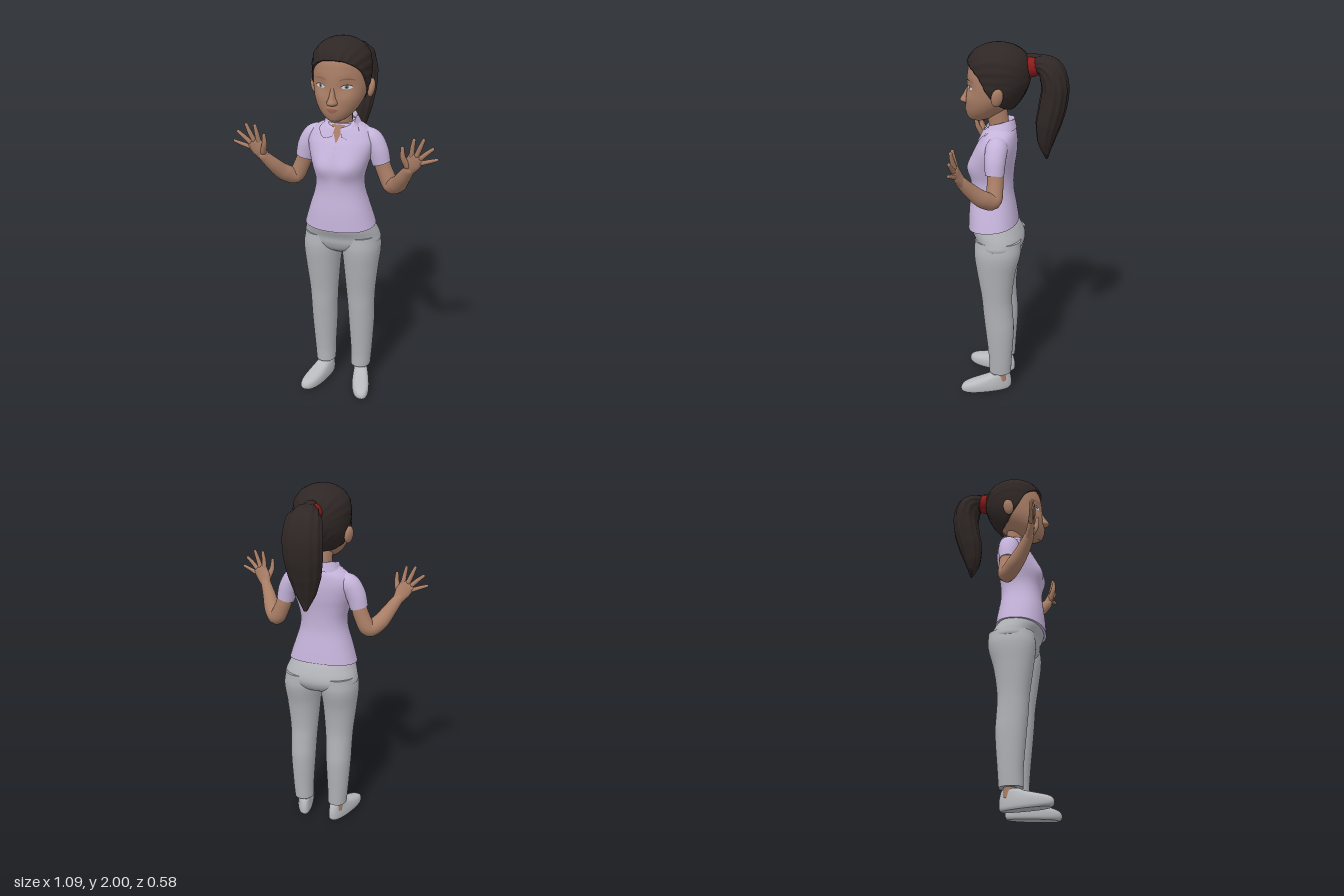
import * as THREE from 'three';

const mat = (name, color, side = THREE.FrontSide) => {
  const m = new THREE.MeshStandardMaterial({ color, side });
  m.name = name;
  return m;
};

// Skin a stack of closed rings, each listed counter-clockwise seen from the end of the stack
function skinRings(rings, closed = true) {
  const n = rings[0].length, pos = [], idx = [];
  rings.forEach(r => r.forEach(p => pos.push(p.x, p.y, p.z)));
  for (let i = 0; i < rings.length - 1; i++)
    for (let j = 0; j < (closed ? n : n - 1); j++) {
      const a = i * n + j, b = i * n + (j + 1) % n;
      idx.push(a, b, b + n, a, b + n, a + n);
    }
  const g = new THREE.BufferGeometry();
  g.setAttribute('position', new THREE.Float32BufferAttribute(pos, 3));
  g.setIndex(idx);
  g.computeVertexNormals();
  return g;
}

// Smooth lookup in a table whose first column is the key
function at(rows, y) {
  let i = 0;
  while (i < rows.length - 2 && y > rows[i + 1][0]) i++;
  const p0 = rows[Math.max(i - 1, 0)], p1 = rows[i], p2 = rows[i + 1], p3 = rows[Math.min(i + 2, rows.length - 1)];
  const h = p2[0] - p1[0], t = Math.min(1, Math.max(0, (y - p1[0]) / h)), t2 = t * t, t3 = t2 * t;
  return p1.map((v, c) => {
    const m1 = (p2[c] - p0[c]) / (p2[0] - p0[0]) * h, m2 = (p3[c] - p1[c]) / (p3[0] - p1[0]) * h;
    return (2 * t3 - 3 * t2 + 1) * v + (t3 - 2 * t2 + t) * m1 + (3 * t2 - 2 * t3) * p2[c] + (t3 - t2) * m2;
  });
}

// Horizontal cross-sections: rows of [y, front z, back z, half width, centre x]
function loft(rows, { n = 48, steps = 5, power = 2, deform = null } = {}) {
  const se = v => Math.sign(v) * Math.abs(v) ** (2 / power);
  const ring = y => {
    const [, zf, zb, rx, cx = 0] = at(rows, y);
    return Array.from({ length: n }, (_, j) => {
      const a = j / n * Math.PI * 2;
      const p = new THREE.Vector3(cx + rx * se(Math.sin(a)), y, (zf + zb) / 2 + (zf - zb) / 2 * se(Math.cos(a)));
      if (deform) deform(p, a);
      return p;
    });
  };
  const rings = [];
  for (let i = 0; i < rows.length - 1; i++)
    for (let k = 0; k < steps; k++) rings.push(ring(rows[i][0] + (rows[i + 1][0] - rows[i][0]) * k / steps));
  rings.push(ring(rows[rows.length - 1][0]));
  const lid = r => {
    const c = r.reduce((s, p) => s.add(p), new THREE.Vector3()).divideScalar(n);
    return r.map(() => c.clone());
  };
  const first = rings[0], last = rings[rings.length - 1];
  return skinRings([lid(first), first, ...rings, last, lid(last)]);
}

// Limb along a path: points of [x, y, z, radius, second radius]; round = 1 gives domed ends
function limb(pts, { round = 1, n = 20, steps = 20, ripple = () => 1 } = {}) {
  const curve = new THREE.CatmullRomCurve3(pts.map(p => new THREE.Vector3(p[0], p[1], p[2])));
  const { tangents, normals, binormals } = curve.computeFrenetFrames(steps);
  const ring = (i, k = 1, shift = 0) => {
    const u = i / steps, f = Math.min(curve.getUtoTmapping(u) * (pts.length - 1), pts.length - 1 - 1e-6);
    const s = Math.floor(f), mix = c => THREE.MathUtils.lerp(pts[s][c] ?? pts[s][3], pts[s + 1][c] ?? pts[s + 1][3], f - s);
    const r1 = mix(3), r2 = mix(4), c = curve.getPointAt(u).addScaledVector(tangents[i], shift * Math.min(r1, r2));
    return Array.from({ length: n }, (_, j) => {
      const a = j / n * Math.PI * 2, q = k * ripple(a);
      return c.clone().addScaledVector(normals[i], Math.cos(a) * r1 * q).addScaledVector(binormals[i], Math.sin(a) * r2 * q);
    });
  };
  const rings = Array.from({ length: steps + 1 }, (_, i) => ring(i));
  for (let k = round ? 1 : 0; k <= 4; k++) {
    const th = k / 4 * Math.PI / 2, c = Math.cos(th), s = Math.sin(th) * round;
    rings.unshift(ring(0, c, -s));
    rings.push(ring(steps, c, s));
  }
  return skinRings(rings);
}

const gauss = (x, y, cx, cy, s) => Math.exp(-((x - cx) ** 2 + (y - cy) ** 2) / (2 * s * s));
const frontZ = (rows, power, x, y) => {
  const [, zf, zb, rx] = at(rows, y);
  return (zf + zb) / 2 + (zf - zb) / 2 * Math.max(0, 1 - Math.abs(x / rx) ** power) ** (1 / power);
};

const HEAD = [
  [1.593, .225, .15, .025], [1.61, .24, .11, .058], [1.65, .25, .05, .097], [1.70, .25, -.01, .125], [1.75, .246, -.045, .138],
  [1.80, .245, -.065, .142], [1.85, .24, -.07, .141], [1.90, .227, -.06, .132], [1.94, .19, -.03, .1], [1.965, .13, .03, .04]];
const TORSO = [
  [1.0, .248, -.026, .192], [1.1, .243, -.016, .166], [1.2, .232, 0, .135], [1.27, .23, .001, .129], [1.34, .235, -.005, .146],
  [1.40, .222, -.014, .165], [1.46, .198, -.018, .178], [1.50, .175, -.016, .17], [1.535, .158, -.01, .14], [1.565, .143, .005, .085]];
const faceBump = (x, y) => .006 * gauss(x, y, 0, 1.655, .02) + .004 * gauss(x, y, 0, 1.61, .02)
  - .01 * gauss(Math.abs(x), y, .068, 1.775, .026) + .005 * gauss(Math.abs(x), y, .075, 1.715, .03);
const chestBump = (x, y) => .018 * gauss(Math.abs(x), y, .07, 1.345, .045);
const faceZ = (x, y) => frontZ(HEAD, 2, x, y) + faceBump(x, y);
const chestZ = (x, y) => frontZ(TORSO, 2.3, x, y) + chestBump(x, y);

// Thin patch laid on a surface; f maps u, v in -1..1 to x, y
function patch(surface, f, off) {
  const g = new THREE.PlaneGeometry(2, 2, 8, 10), p = g.attributes.position;
  for (let i = 0; i < p.count; i++) {
    const [x, y] = f(p.getX(i), p.getY(i));
    p.setXYZ(i, x, y, surface(x, y) + off);
  }
  g.computeVertexNormals();
  return g;
}
const oval = (cx, cy, w, h) => (u, v) => [cx + u * w * Math.sqrt(Math.max(0, 1 - v * v)), cy + v * h];

// Swept-back hair shell with a shaped hairline and combed ridges
function hairCap() {
  const low = [[1.64, .2, .015, .09], [1.70, .24, -.035, .125], [1.76, .248, -.07, .146], [1.81, .249, -.087, .151], [1.85, .248, -.092, .152]];
  const line = [[0, 1.905], [.45, 1.895], [.99, 1.845], [1.37, 1.76], [1.8, 1.70], [2.3, 1.67], [3.15, 1.66]];
  const n = 120, rows = 28;
  const ring = (t, k = 1) => Array.from({ length: n }, (_, j) => {
    const a = j / n * Math.PI * 2, edge = at(line, a > Math.PI ? 2 * Math.PI - a : a)[1];
    const y = edge + (2 - edge) * Math.sin(t * Math.PI / 2);
    const [, zf, zb, rx] = at(low, Math.min(y, 1.85));
    const f = k * Math.sqrt(Math.max(0, 1 - Math.max(0, (y - 1.85) / .15) ** 2.5));
    const x = rx * f * Math.sin(a), phi = Math.atan2(x, y - 1.8);
    const q = 1 + .014 * Math.cos(22 * phi) * Math.min(1, Math.hypot(x, y - 1.8) / .08);
    return new THREE.Vector3(x * q, y, (zf + zb) / 2 + (zf - zb) / 2 * f * q * Math.cos(a));
  });
  return skinRings([ring(0, .9), ...Array.from({ length: rows + 1 }, (_, i) => ring(i / rows))]);
}

// Folded collar, open at the front with two points
function collar() {
  const n = 60, rings = [];
  for (let i = 0; i <= 8; i++) {
    const v = i / 8, fold = Math.min(1, v / .75), inner = Math.max(0, (v - .75) / .25);
    rings.push(Array.from({ length: n + 1 }, (_, j) => {
      const a = .2 + (j / n) * (Math.PI * 2 - .4), c = Math.cos(a), front = (1 + c) / 2;
      const tip = gauss(Math.min(a, 2 * Math.PI - a), 0, .55, 0, .28);
      const bottom = 1.555 - .04 * front - .025 * tip, top = 1.605 - .055 * front ** 2;
      const y = THREE.MathUtils.lerp(bottom, top, fold) - .03 * inner;
      const x = Math.sin(a) * (THREE.MathUtils.lerp(.108 + .02 * tip, .075, fold) - .008 * inner);
      let z = .07 + c * (THREE.MathUtils.lerp(.085, .074, fold) - .008 * inner);
      if (c > 0 && v < .7) z = Math.max(z, chestZ(x, Math.min(y, 1.56)) + .008);
      return new THREE.Vector3(x, y, z);
    }));
  }
  return skinRings(rings, false);
}

export function createModel() {
  const model = new THREE.Group();
  model.name = 'woman';
  const skin = mat('skin', 0xa87d65), hair = mat('hair', 0x2f2725, THREE.DoubleSide);
  const lilac = mat('lilacFabric', 0xc5b3da, THREE.DoubleSide), grey = mat('greyFabric', 0xb0b2b7);
  const shoeMat = mat('shoeGrey', 0xb8babe), red = mat('redBand', 0x8c1b1b);
  const white = mat('eyeWhite', 0xd9d5d2), iris = mat('irisBlue', 0x667f9c), lip = mat('lip', 0x96604f);
  const add = (name, geo, m) => {
    const mesh = new THREE.Mesh(geo, m);
    mesh.name = name;
    model.add(mesh);
    return mesh;
  };

  // Head and face
  add('head', loft(HEAD, { n: 80, steps: 7, deform: (p, a) => { if (Math.cos(a) > 0) p.z += faceBump(p.x, p.y); } }), skin);
  add('nose', loft([[1.68, .25, .2, .014], [1.688, .277, .2, .026], [1.70, .285, .2, .028], [1.72, .273, .2, .02],
    [1.76, .252, .2, .013], [1.80, .236, .2, .01]], { n: 24 }), skin);
  add('neck', limb([[0, 1.48, .07, .056], [0, 1.58, .08, .054], [0, 1.68, .095, .056]]), skin);
  add('upperLip', patch(faceZ, (u, v) => [u * .034, 1.66 + (v + 1) * .0045 * (1 - u * u) + .003 * u * u], .003), lip);
  add('lowerLip', patch(faceZ, (u, v) => [u * .032, 1.659 + (v - 1) * .006 * (1 - u * u) + .003 * u * u], .003), lip);

  // Hair and ponytail
  add('hairCap', hairCap(), hair);
  add('hairBand', limb([[0, 1.876, -.065, .054, .052], [0, 1.88, -.09, .058, .056], [0, 1.883, -.115, .054, .052]], { round: .3, n: 32 }), red);
  add('hairLock', limb([[0, 1.92, -.05, .024, .014], [0, 1.932, -.09, .022, .014], [0, 1.925, -.13, .03, .016]]), hair);
  add('ponytail', limb([[0, 1.88, -.1, .045, .042], [0, 1.888, -.14, .066, .052], [0, 1.86, -.188, .095, .068], [0, 1.78, -.214, .106, .07],
    [0, 1.68, -.204, .102, .072], [0, 1.58, -.182, .086, .066], [0, 1.48, -.17, .055, .043], [0, 1.395, -.176, .012, .008]],
    { n: 72, steps: 44, ripple: a => 1 + .035 * Math.cos(12 * a) }), hair);

  // Shirt
  add('shirtBody', loft(TORSO, {
    n: 72, power: 2.3, deform: (p, a) => {
      if (Math.cos(a) > 0) p.z += chestBump(p.x, p.y);
      p.y += .03 * (1 - Math.cos(a)) / 2 * Math.max(0, (1.1 - p.y) / .1);
    }
  }), lilac);
  add('collar', collar(), lilac);
  add('neckOpening', patch(chestZ, (u, v) => [u * .018 * (v + 1), 1.515 + v * .045], .003), skin);
  add('placket', patch(chestZ, (u, v) => [u * .014, 1.435 + v * .04], .005), lilac);
  for (const y of [1.415, 1.45]) add('button', patch(chestZ, oval(0, y, .004, .004), .008), grey);

  // Trousers
  add('hips', loft([[.84, .14, .03, .05], [.87, .185, -.03, .15], [.91, .207, -.058, .208], [.95, .214, -.058, .206],
    [1.0, .234, -.036, .188], [1.03, .232, -.016, .175]], { n: 64, power: 2.2 }), grey);

  for (const s of [1, -1]) {
    const side = s > 0 ? 'left' : 'right', mir = pts => pts.map(p => [p[0] * s, ...p.slice(1)]);

    // Eye, brow and ear
    add(side + 'Eye', patch(faceZ, oval(.069 * s, 1.775, .025, .0105), .002), white);
    add(side + 'Iris', patch(faceZ, oval(.068 * s, 1.775, .0095, .0098), .004), iris);
    add(side + 'Pupil', patch(faceZ, oval(.068 * s, 1.775, .0045, .0045), .0055), hair);
    add(side + 'LashLine', patch(faceZ, (u, v) => [.069 * s + u * .027, 1.778 + .009 * (1 - u * u) + v * .0018], .005), hair);
    add(side + 'Brow', patch(faceZ, (u, v) => [.07 * s + u * .034, 1.808 + .008 * (1 - u * u) + v * .003], .003), lip);
    const ear = add(side + 'Ear', new THREE.SphereGeometry(1, 24, 16), skin);
    ear.scale.set(.02, .048, .031);
    ear.position.set(.15 * s, 1.745, .068);
    ear.rotation.set(-.15, .3 * s, -.12 * s);

    // Sleeve, arm and hand
    add(side + 'Sleeve', limb(mir([[.09, 1.492, .07, .05], [.155, 1.475, .072, .058], [.192, 1.42, .075, .055], [.212, 1.352, .075, .049]]),
      { round: 0, n: 32 }), lilac);
    add(side + 'Arm', limb(mir([[.195, 1.41, .075, .042], [.232, 1.30, .07, .043], [.268, 1.236, .078, .045], [.315, 1.262, .125, .045],
      [.355, 1.32, .178, .037], [.392, 1.378, .218, .028]]), { n: 28, steps: 36 }), skin);
    add(side + 'Palm', limb(mir([[.386, 1.368, .213, .024, .028], [.41, 1.412, .229, .02, .041], [.434, 1.452, .238, .015, .042]]), { n: 28 }), skin);
    const fingers = {
      Thumb: [[.385, 1.405, .235, .017], [.368, 1.455, .256, .014], [.366, 1.503, .262, .009]],
      IndexFinger: [[.408, 1.462, .238, .0135], [.413, 1.505, .246, .012], [.42, 1.545, .25, .009]],
      MiddleFinger: [[.434, 1.464, .24, .0135], [.452, 1.508, .247, .012], [.468, 1.548, .25, .009]],
      RingFinger: [[.455, 1.452, .24, .013], [.486, 1.482, .247, .0115], [.515, 1.507, .25, .009]],
      LittleFinger: [[.462, 1.427, .238, .012], [.502, 1.442, .246, .0105], [.538, 1.455, .25, .008]]
    };
    for (const [name, pts] of Object.entries(fingers)) add(side + name, limb(mir(pts), { n: 14, steps: 10 }), skin);

    // Trouser leg, ankle and shoe
    add(side + 'TrouserLeg', loft([[.115, .13, .005, .055, .105 * s], [.2, .131, 0, .059, .108 * s], [.4, .15, -.012, .071, .109 * s],
      [.5, .16, -.006, .074, .108 * s], [.6, .168, -.002, .08, .107 * s], [.75, .19, -.02, .094, .109 * s],
      [.87, .205, -.05, .105, .109 * s], [.95, .2, -.05, .098, .104 * s]], { power: 2.15 }), grey);
    add(side + 'Ankle', limb([[.105 * s, .06, .06, .036], [.105 * s, .15, .065, .036]], { round: 0 }), skin);
    add(side + 'Shoe', loft([[0, .272, .016, .046], [.012, .287, .006, .053], [.035, .288, .004, .055], [.055, .268, .005, .053],
      [.075, .205, .009, .048], [.092, .145, .014, .043], [.105, .118, .02, .037]], {
      power: 2.4, deform: p => {
        p.x = p.x * (.84 + .6 * Math.max(0, p.z - .02)) + s * (.096 + (p.z - .03) * .27);
      }
    }), shoeMat);
  }
  return model;
}
